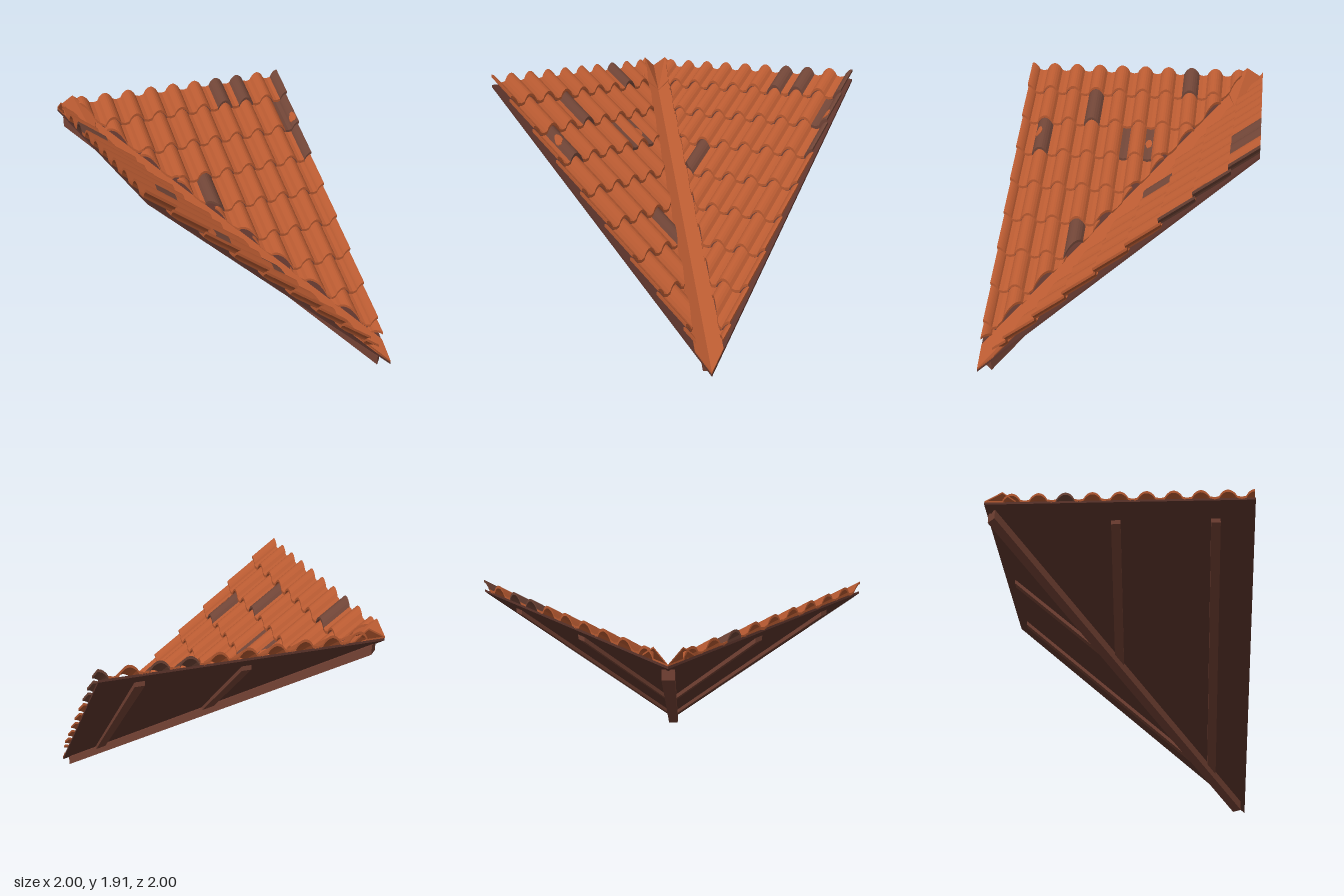
import * as THREE from 'three';

const paint = (name, color) => {
  const m = new THREE.MeshStandardMaterial({ color });
  m.name = name;
  return m;
};

const PITCH = 0.9;            // rise per unit of run
const COLUMN = 0.2;           // spacing of the tile columns
const ROW = 0.2265;           // run covered by one course
const FIRST_EDGE = -0.8;      // lower edge of the top course
const CUT = 0.13;             // tiles stop this far from the valley line
const COVER = 0.067;          // half width of a cover tile

// Height of the deck plane at run s (s goes down the slope, u across it)
const plane = (s) => PITCH * (1 - s);

// Adds a closed convex prism; each point is [u, s, yTop, yBottom].
// Mirrored slopes swap u and s, so the winding is settled here.
function addPrism(out, points, mirrored) {
  let p = points.map(([u, s, t, b]) => (mirrored ? [s, u, t, b] : [u, s, t, b]));
  let area = 0;
  p.forEach((a, i) => {
    const b = p[(i + 1) % p.length];
    area += a[1] * b[0] - a[0] * b[1];
  });
  if (area < 0) p = p.reverse();
  const top = (a) => [a[0], a[2], a[1]];
  const low = (a) => [a[0], a[3], a[1]];
  const tri = (a, b, c) => out.push(...a, ...b, ...c);
  for (let i = 1; i < p.length - 1; i++) {
    tri(top(p[0]), top(p[i]), top(p[i + 1]));
    tri(low(p[0]), low(p[i + 1]), low(p[i]));
  }
  p.forEach((a, i) => {
    const b = p[(i + 1) % p.length];
    tri(low(a), low(b), top(b));
    tri(low(a), top(b), top(a));
  });
}

function meshOf(out, material, name) {
  const g = new THREE.BufferGeometry();
  g.setAttribute('position', new THREE.Float32BufferAttribute(out, 3));
  g.computeVertexNormals();
  const mesh = new THREE.Mesh(g, material);
  mesh.name = name;
  return mesh;
}

// Slab lying parallel to a slope between two heights above the deck plane
function slab(outline, lowH, highH, mirrored, material, name) {
  const out = [];
  addPrism(out, outline.map(([u, s]) => [u, s, plane(s) + highH, plane(s) + lowH]), mirrored);
  return meshOf(out, material, name);
}

// Cross profile of the tiles: rounded covers with shallow pans between
function profile(u) {
  const d = u - Math.round(u / COLUMN) * COLUMN;
  if (Math.abs(d) <= COVER + 1e-6) {
    return 0.032 + 0.058 * Math.pow(Math.max(0, Math.cos((Math.PI / 2) * d / COVER)), 0.75);
  }
  return 0.03 - 0.006 * Math.sin(Math.PI * (Math.abs(d) - COVER) / (COLUMN - 2 * COVER));
}
// Every course tilts up towards its lower edge
function tileTop(u, s, row) {
  const start = FIRST_EDGE + (row - 1) * ROW;
  return plane(s) + profile(u) + 0.04 * (s - start) / ROW;
}

// One tile, cut along the valley and at the outer edge
function tile(center, half, row, segments, mirrored, material, name) {
  const s0 = Math.max(-1, FIRST_EDGE + (row - 1) * ROW - 0.02);
  const s1 = Math.min(1, FIRST_EDGE + row * ROW);
  const from = Math.max(center - half, s0 + CUT);
  const to = Math.min(center + half, 1);
  if (to - from < 0.004) return null;
  const out = [];
  for (let i = 0; i < segments; i++) {
    const a = from + (to - from) * i / segments;
    const b = from + (to - from) * (i + 1) / segments;
    const at = (u, s) => {
      const y = tileTop(u, s, row);
      return [u, s, y, y - 0.02];
    };
    addPrism(out, [at(a, s0), at(b, s0), at(b, Math.min(s1, b - CUT)), at(a, Math.min(s1, a - CUT))], mirrored);
  }
  return meshOf(out, material, name);
}

// Thin worn spot following the tile surface
function spot(u, s, row, mirrored, material) {
  const out = [];
  const at = (r, i) => {
    const a = (i / 10) * Math.PI * 2;
    const pu = Math.min(1, u + Math.cos(a) * r * 0.85);
    const ps = s + Math.sin(a) * r * (i % 3 ? 1.1 : 0.85);
    const y = tileTop(pu, ps, row);
    return [pu, ps, y + 0.005, y - 0.003];
  };
  for (let i = 0; i < 10; i++) {
    addPrism(out, [at(0, i), at(0.016, i), at(0.016, i + 1)], mirrored);
    addPrism(out, [at(0.016, i), at(0.033, i), at(0.033, i + 1), at(0.016, i + 1)], mirrored);
  }
  return meshOf(out, material, 'wornSpot');
}

// Raised end of the valley lining at the top edge
function flare(mirrored, material) {
  const out = [];
  const at = (u, s, h) => [u, s, plane(s) + h, plane(s) + h - 0.012];
  const axisTop = at(-1, -1, 0.03);
  const peak = at(-0.87, -1, 0.11);
  const foot = at(-0.77, -1, 0.03);
  const axisLow = at(-0.78, -0.78, 0.032);
  const side = at(-0.71, -0.89, 0.05);
  addPrism(out, [axisTop, peak, axisLow], mirrored);
  addPrism(out, [peak, side, axisLow], mirrored);
  addPrism(out, [peak, foot, side], mirrored);
  return meshOf(out, material, 'valleyLiningEnd');
}

export function createModel() {
  const model = new THREE.Group();
  model.name = 'valleyRoof';
  const clay = paint('clay', 0xb85a31);
  const darkClay = paint('darkClay', 0x6f4436);
  const deckWood = paint('deckWood', 0x5e352c);
  const beamWood = paint('beamWood', 0x744234);

  // Dark tiles as "column centre:course", worn spots as [u, s, course]
  const slopes = [
    { name: 'frontSlope', mirrored: false,
      dark: ['0.4:0', '0.6:0', '1.0:0', '0.9:1', '1.0:1', '1.0:2', '0.0:3'],
      spots: [[0.965, -0.63, 1]] },
    { name: 'sideSlope', mirrored: true,
      dark: ['-0.4:0', '0.4:1', '0.8:2', '0.1:2', '-0.1:2', '0.4:5'],
      spots: [[0.835, -0.49, 2], [-0.1, -0.47, 2]] },
  ];

  for (const { name, mirrored, dark, spots } of slopes) {
    const slope = new THREE.Group();
    slope.name = name;
    model.add(slope);

    slope.add(slab([[-1, -1], [1, -1], [1, 1]], 0, 0.018, mirrored, deckWood, 'deck'));
    slope.add(slab([[-1, -1], [-0.86, -1], [1, 0.86], [1, 1]], 0.018, 0.03, mirrored, clay, 'valleyLining'));
    slope.add(flare(mirrored, clay));

    // Rafters under the deck
    for (const u of [0.71, -0.03]) {
      const a = u - 0.035, b = u + 0.035;
      slope.add(slab([[a, -0.9], [b, -0.9], [b, b - 0.02], [a, a - 0.02]], -0.035, 0.005, mirrored, beamWood, 'rafter'));
    }

    // Courses of alternating covers and pans
    for (let row = 0; row <= 8; row++) {
      for (let i = -9; i <= 10; i++) {
        const u = i / 10;
        const isCover = i % 2 === 0;
        const key = `${(i === 0 ? 0 : u).toFixed(1)}:${row}`;
        const piece = tile(u, isCover ? COVER : COLUMN / 2 - COVER, row, isCover ? 8 : 2, mirrored,
          dark.includes(key) ? darkClay : clay, isCover ? 'coverTile' : 'panTile');
        if (piece) slope.add(piece);
      }
    }
    for (const [u, s, row] of spots) slope.add(spot(u, s, row, mirrored, clay));
  }

  // Valley beam along the diagonal
  const beam = [];
  const corner = (c, d) => {
    const y = plane(c);
    return [c + d, c - d, y + 0.012, y - 0.063];
  };
  addPrism(beam, [corner(-0.95, -0.03), corner(-0.95, 0.03), corner(0.93, 0.03), corner(0.93, -0.03)], false);
  model.add(meshOf(beam, beamWood, 'valleyBeam'));

  return model;
}
